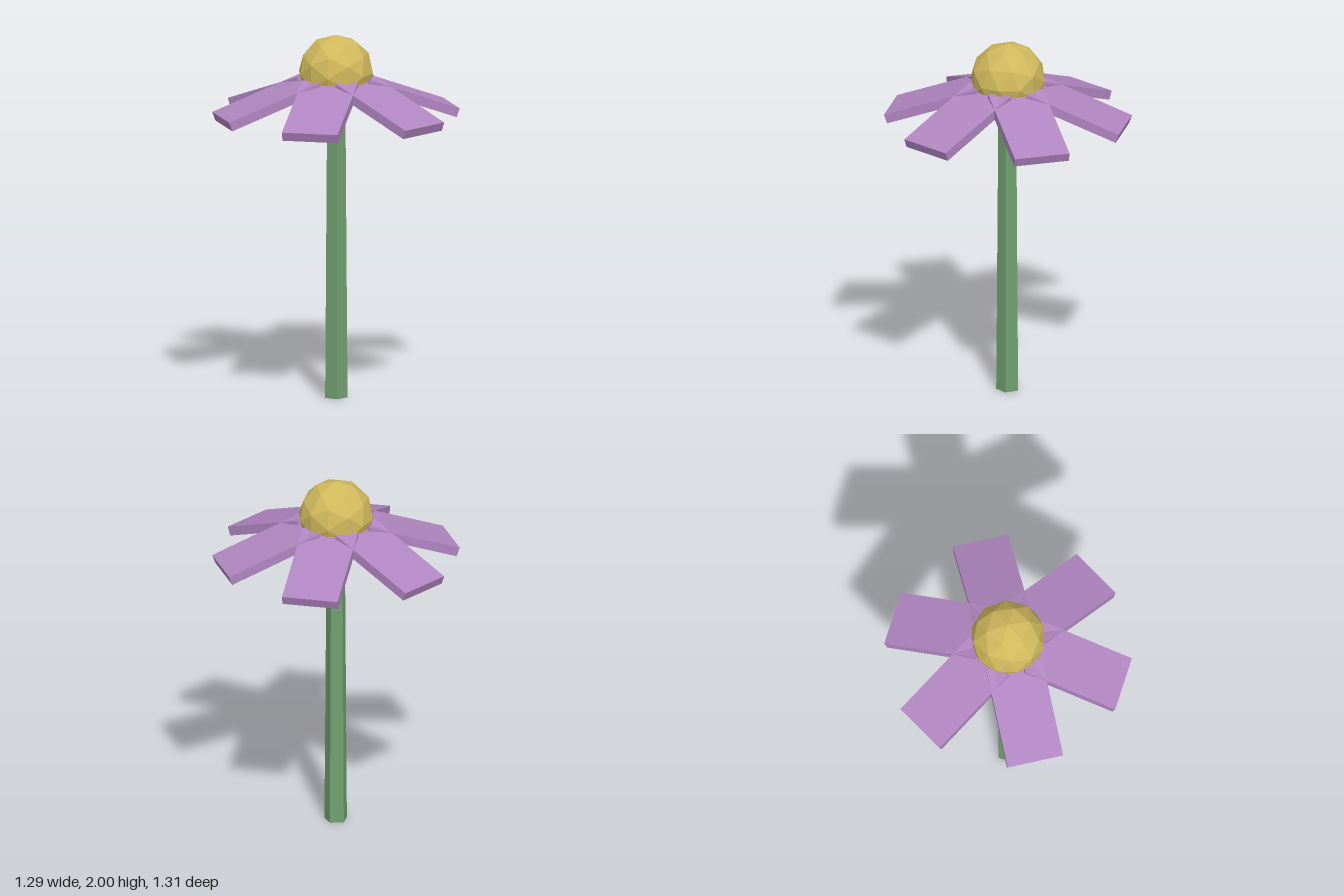
import * as THREE from 'three';

export function createModel() {
  const flower = new THREE.Group();
  flower.name = 'flower';

  const material = (name, color) => {
    const m = new THREE.MeshStandardMaterial({ color, flatShading: true });
    m.name = name;
    return m;
  };
  const stemGreen = material('stemGreen', 0x70a070);
  const petalPurple = material('petalPurple', 0xb085c0);
  const centreYellow = material('centreYellow', 0xd0b85c);

  const headY = 1.795;

  // Five-sided tapering stem with one corner towards +x
  const stem = new THREE.Mesh(
    new THREE.CylinderGeometry(0.051, 0.064, headY, 5), stemGreen);
  stem.name = 'stem';
  stem.position.y = headY / 2;
  stem.rotation.y = Math.PI / 2;
  flower.add(stem);

  // Faceted centre of the bloom
  const centre = new THREE.Mesh(new THREE.IcosahedronGeometry(0.205, 1), centreYellow);
  centre.name = 'centre';
  centre.position.y = headY;
  flower.add(centre);

  // Six flat petals drooping outwards around the centre
  const petalShape = new THREE.BoxGeometry(0.308, 0.051, 0.544);
  petalShape.translate(0, 0, 0.414);
  for (let i = 0; i < 6; i++) {
    const petal = new THREE.Mesh(petalShape, petalPurple);
    petal.name = `petal${i + 1}`;
    petal.position.y = headY;
    petal.rotation.set(0.35, (i * Math.PI) / 3, 0, 'YXZ');
    flower.add(petal);
  }

  return flower;
}
